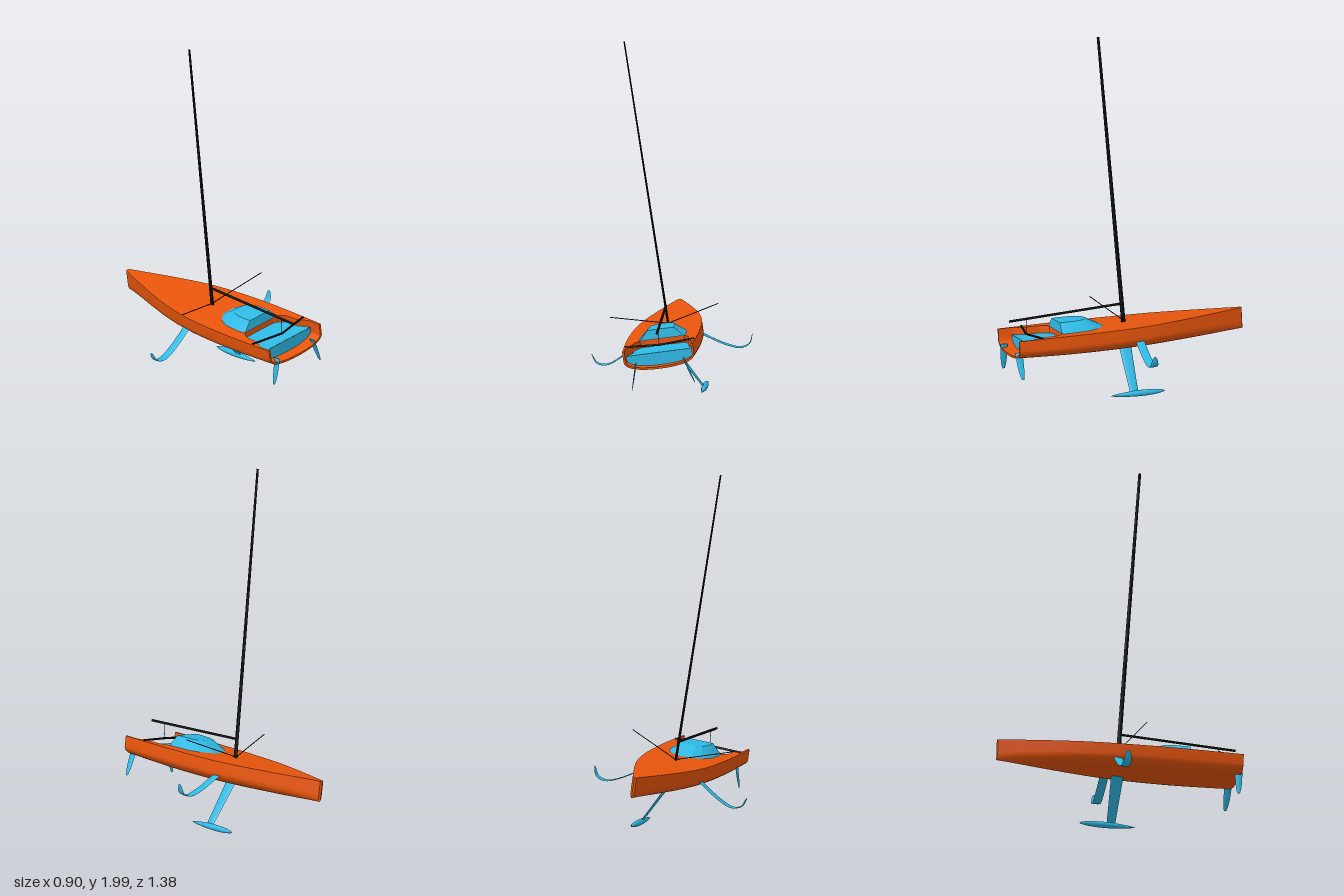
import * as THREE from 'three';
import { toCreasedNormals } from 'three/addons/utils/BufferGeometryUtils.js';

const V = (x, y, z) => new THREE.Vector3(x, y, z);
const paint = (color) => new THREE.MeshStandardMaterial({ color, side: THREE.DoubleSide });

// Skin a list of equally long rows of points
function loft(rows, closed = false, crease = 0.6) {
  const n = rows[0].length, index = [];
  for (let i = 0; i < rows.length - 1; i++) {
    for (let j = 0; j < (closed ? n : n - 1); j++) {
      const a = i * n + j, b = i * n + (j + 1) % n;
      index.push(a, b, a + n, b, b + n, a + n);
    }
  }
  const geo = new THREE.BufferGeometry().setFromPoints(rows.flat());
  geo.setIndex(index);
  return toCreasedNormals(geo, crease);
}

// Foil-shaped blade along a path; its chord lies along z
function blade(path, chordAt, ratio, steps = 24) {
  const curve = new THREE.CatmullRomCurve3(path);
  const rows = [];
  for (let i = 0; i <= steps; i++) {
    const u = i / steps, p = curve.getPoint(u), t = curve.getTangent(u);
    const side = V(0, 0, 1).cross(t).normalize(), c = chordAt(u) / 2;
    rows.push(Array.from({ length: 16 }, (_, k) => {
      const a = k / 16 * Math.PI * 2;
      return p.clone().addScaledVector(side, Math.sin(a) * c * ratio).add(V(0, 0, Math.cos(a) * c));
    }));
  }
  const cap = (row) => {
    const mid = row.reduce((s, p) => s.add(p), V(0, 0, 0)).divideScalar(row.length);
    return row.map(() => mid.clone());
  };
  return loft([cap(rows[0]), ...rows, cap(rows[steps])], true, 0.9);
}

function rod(a, b, r) {
  const geo = new THREE.CylinderGeometry(r, r, a.distanceTo(b), 10);
  geo.applyQuaternion(new THREE.Quaternion().setFromUnitVectors(V(0, 1, 0), b.clone().sub(a).normalize()));
  return geo.translate(...a.clone().add(b).multiplyScalar(0.5).toArray());
}

// Horizontal sheet from [x, z] points, height given by a rule
function sheet(points, heightAt) {
  const geo = new THREE.ShapeGeometry(new THREE.Shape(points.map(([x, z]) => new THREE.Vector2(x, -z))));
  geo.rotateX(-Math.PI / 2);
  const p = geo.attributes.position;
  for (let i = 0; i < p.count; i++) p.setY(i, heightAt(p.getZ(i)));
  geo.computeVertexNormals();
  return geo;
}

const mirrorLoop = (half) => [...half, ...half.slice().reverse().map(([x, z]) => [-x, z])];

// Hull lines: half beam, keel line and sheer against z
const beamLine = new THREE.SplineCurve([[-0.685, 0.012], [-0.6, 0.04], [-0.4, 0.104], [-0.2, 0.158], [0, 0.19],
  [0.2, 0.203], [0.4, 0.206], [0.68, 0.2]].map(([z, b]) => new THREE.Vector2(z, b)));
const beamTable = beamLine.getPoints(160);
const keelTable = new THREE.SplineCurve([[-0.685, 0.27], [-0.4, 0.255], [0, 0.243], [0.35, 0.244], [0.68, 0.256]]
  .map(([z, y]) => new THREE.Vector2(z, y))).getPoints(80);
function lookup(table, z) {
  const i = Math.max(1, table.findIndex((p) => p.x >= z - 1e-6));
  const a = table[i - 1], b = table[i];
  return a.y + (b.y - a.y) * (z - a.x) / (b.x - a.x);
}
const beam = (z) => lookup(beamTable, z);
const deckY = (z) => 0.376 + 0.012 * Math.max(0, -z) / 0.685;
const WELL_FLOOR = 0.335, BULKHEAD_Z = 0.6, STERN_Z = 0.68, WALL = 0.012;

function section(z, inset = 0) {
  const b = beam(z) - inset, bottom = lookup(keelTable, z) + inset, bilge = 0.318;
  const row = [V(b, deckY(z), z)];
  for (let k = 0; k <= 28; k++) {
    const a = k / 28 * Math.PI, c = Math.cos(a), s = Math.sin(a);
    row.push(V(b * Math.sign(c) * Math.abs(c) ** 0.87, bilge - (bilge - bottom) * s ** 0.87, z));
  }
  row.push(V(-b, deckY(z), z));
  return row;
}

export function createModel() {
  const model = new THREE.Group();
  model.name = 'racingYacht';
  const boat = new THREE.Group();
  boat.name = 'heeledBoat';
  boat.rotation.z = 0.148;
  boat.position.set(0.0326, 0.005, 0);
  model.add(boat);
  const orange = paint(0xe8550c), blue = paint(0x2eb9e4), black = paint(0x0a0a0a);
  const add = (name, geo, mat) => {
    const mesh = new THREE.Mesh(geo, mat);
    mesh.name = name;
    boat.add(mesh);
    return mesh;
  };

  // Hull shell, turning inward over the stern rim to the bulkhead
  const stations = Array.from({ length: 41 }, (_, i) => -0.685 + (STERN_Z + 0.685) * i / 40);
  const rows = stations.map((z) => section(z));
  const stem = rows[0].map((p) => V(0, p.y, -0.69));
  add('hull', loft([stem, ...rows, section(STERN_Z, WALL), section(BULKHEAD_Z, WALL)]), orange);

  // Deck with a cockpit well open to the stern
  const well = [[0.1, 0.39], [0.125, 0.4], [0.155, 0.45], [0.158, 0.53], [beam(BULKHEAD_Z) - WALL, BULKHEAD_Z]];
  const deckHalf = [[0, -0.69], ...stations.map((z) => [beam(z), z]), [beam(STERN_Z) - WALL, STERN_Z],
    ...well.slice().reverse()];
  add('deck', sheet(mirrorLoop(deckHalf), deckY), orange);

  // Cockpit walls, floor and aft bulkhead
  const wellLoop = mirrorLoop(well.slice().reverse());
  add('cockpitWalls', loft([wellLoop.map(([x, z]) => V(x, deckY(z), z)),
    wellLoop.map(([x, z]) => V(x, WELL_FLOOR, z))], false, 0.3), orange);
  add('cockpitFloor', sheet(wellLoop, () => WELL_FLOOR), blue);
  const wall = section(BULKHEAD_Z, WALL).map((p) => new THREE.Vector2(p.x, Math.min(p.y, WELL_FLOOR)));
  add('aftBulkhead', new THREE.ShapeGeometry(new THREE.Shape(wall)).translate(0, 0, BULKHEAD_Z + 0.001), blue);

  // Faceted cabin
  const cabinRow = (half, y) => mirrorLoop(half).map(([x, z]) => V(x, y, z));
  const base = cabinRow([[0.04, 0.13], [0.1, 0.185], [0.128, 0.25], [0.133, 0.36], [0.125, 0.405]], 0.376);
  const roof = cabinRow([[0.03, 0.235], [0.058, 0.255], [0.072, 0.3], [0.076, 0.36], [0.074, 0.4]], 0.43);
  add('cabin', loft([base, roof, roof.map(() => V(0, 0.432, 0.33))], true, 0.3), blue);

  // Mast, boom, mainsheet
  add('mast', blade([V(0, 0.376, 0.005), V(0, 1.2, 0.04), V(0, 2.014, 0.075)], (u) => 0.026 - 0.01 * u, 0.5), black);
  add('boom', rod(V(0.002, 0.485, 0.005), V(0.009, 0.455, 0.675), 0.007), black);
  add('mainsheet', rod(V(0.007, 0.458, 0.575), V(0, 0.372, 0.575), 0.0015), black);

  // Canted keel with bulb
  const fin = [V(0.004, 0.26, 0.006), V(0.075, 0.13, 0.006), V(0.147, 0, 0.006)];
  add('keelFin', blade(fin, (u) => 0.072 - 0.024 * u, 0.16), blue);
  const profile = Array.from({ length: 25 }, (_, i) => {
    const u = i / 24;
    return new THREE.Vector2(0.0172 * Math.sin(Math.PI * u ** 0.8) ** 0.7, 0.145 - 0.32 * (1 - u));
  });
  profile[0].x = profile[24].x = 0;
  const bulb = new THREE.LatheGeometry(profile, 20).rotateX(Math.PI / 2);
  add('keelBulb', bulb.translate(0.147, -0.004, 0), blue);

  // Paired parts
  for (const [side, s] of [['left', 1], ['right', -1]]) {
    const foil = [[0.17, 0.3], [0.201, 0.279], [0.303, 0.218], [0.38, 0.191], [0.433, 0.208], [0.456, 0.26]];
    add(side + 'Foil', blade(foil.map(([x, y], i) => V(s * x, y, -0.034 + i * 0.001)),
      (u) => 0.05 * Math.sqrt(Math.max(0.02, 1 - u ** 7)), 0.12, 40), blue);
    add(side + 'Rudder', blade([V(s * 0.135, 0.3, 0.667), V(s * 0.157, 0.22, 0.665), V(s * 0.178, 0.152, 0.662)],
      (u) => 0.042 * Math.sqrt(Math.max(0.05, 1 - 0.9 * u ** 2)), 0.17), blue);
    add(side + 'Outrigger', rod(V(0, 0.384, 0), V(s * 0.306, 0.477, 0.1), 0.0025), black);
    add(side + 'Traveller', rod(V(0, 0.372, 0.577), V(s * 0.195, 0.378, 0.542), 0.006), black);
  }
  return model;
}
